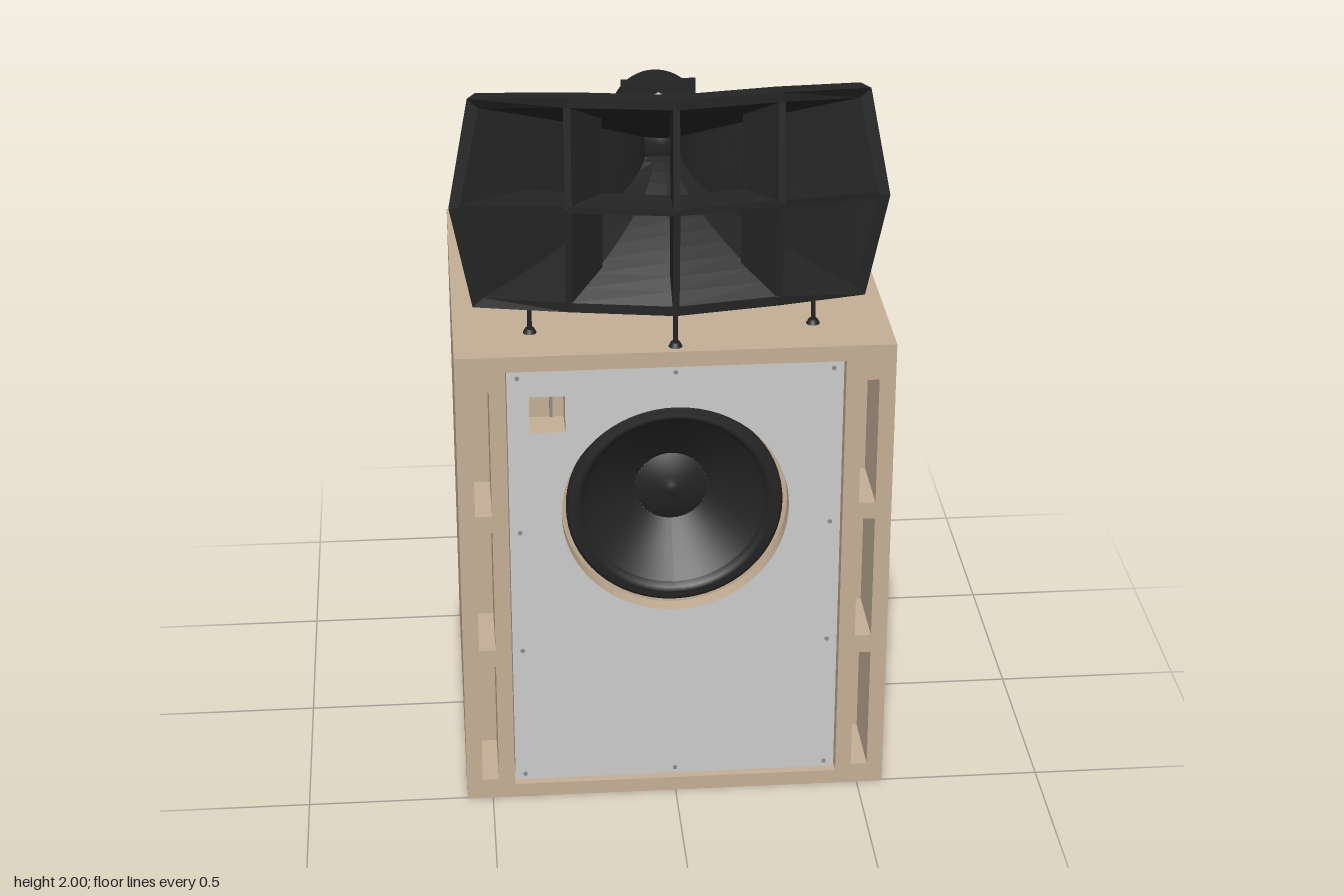
import * as THREE from 'three';

const wood = new THREE.MeshStandardMaterial({ color: 0xc4af96 });
wood.name = 'wood';
const grey = new THREE.MeshStandardMaterial({ color: 0xcbcbcb });
grey.name = 'panelGrey';
const black = new THREE.MeshStandardMaterial({ color: 0x242424, side: THREE.DoubleSide });
black.name = 'black';
const steel = new THREE.MeshStandardMaterial({ color: 0x8c8c8c });
steel.name = 'steel';

const AXIS_Y = 1.713; // height of horn throat and driver

function add(parent, name, geo, mat, x = 0, y = 0, z = 0) {
  const m = new THREE.Mesh(geo, mat);
  m.name = name;
  m.position.set(x, y, z);
  parent.add(m);
  return m;
}

// Rectangle given by its sides, as a Shape or a hole Path
function rect(Type, x0, x1, y0, y1) {
  return new Type([[x0, y0], [x1, y0], [x1, y1], [x0, y1]].map(p => new THREE.Vector2(...p)));
}

// Lathe whose axis points along +z; profile is [radius, z]
function latheZ(profile, segments = 48) {
  const g = new THREE.LatheGeometry(profile.map(p => new THREE.Vector2(...p)), segments);
  return g.rotateX(Math.PI / 2);
}

// Flat-faced skin through equal-length rings of [x, y, z]
function loft(rings, closeRings = false) {
  const out = [];
  const n = rings[0].length;
  const last = closeRings ? rings.length : rings.length - 1;
  for (let i = 0; i < last; i++) {
    const a = rings[i], b = rings[(i + 1) % rings.length];
    for (let j = 0; j < n; j++) {
      const k = (j + 1) % n;
      out.push(...a[j], ...a[k], ...b[k], ...a[j], ...b[k], ...b[j]);
    }
  }
  const g = new THREE.BufferGeometry();
  g.setAttribute('position', new THREE.Float32BufferAttribute(out, 3));
  g.computeVertexNormals();
  return g;
}

// Front edge of the mouth: u = -2..2 across, v = -1..1 upward
function mouth(u, v) {
  const a = Math.abs(u), s = Math.sign(u);
  const x = s * [0, 0.27, v ? 0.515 : 0.57][a];
  const mid = [1.708, 1.705, 1.66][a];
  const half = [0.292, 0.291, 0.288][a];
  const z = [0.505, 0.455, 0.31][a] - (v ? 0.02 : 0);
  return [x, mid + v * half, z];
}

// Inner lip of the rim
function lip(u, v) {
  const [x, y, z] = mouth(u, v);
  return [x - (Math.abs(u) === 2 ? Math.sign(u) * 0.028 : 0), y - v * 0.026, z];
}

// Point on the flare, t = 0 at the throat and 1 at the mouth
function flare(u, v, t) {
  const [x, y, z] = lip(u, v);
  const L = THREE.MathUtils.lerp;
  return [L(0.0225 * u, x, t ** 1.8), L(AXIS_Y + 0.025 * v, y, t ** 1.3), L(0.045, z, t)];
}

const PERIMETER = [
  [-2, 1], [-1, 1], [0, 1], [1, 1], [2, 1], [2, 0],
  [2, -1], [1, -1], [0, -1], [-1, -1], [-2, -1], [-2, 0],
];

function makeCabinet() {
  const g = new THREE.Group();
  g.name = 'cabinet';
  add(g, 'cabinetBody', new THREE.BoxGeometry(1.14, 1.325, 0.81), wood, 0, 0.6625, -0.1);

  // Front frame with panel opening and side vents
  const frame = rect(THREE.Shape, -0.57, 0.57, 0, 1.325);
  frame.holes.push(rect(THREE.Path, -0.44, 0.44, 0.04, 1.282));
  for (const s of [-1, 1]) {
    for (const [y0, y1] of [[0.058, 0.412], [0.464, 0.82], [0.868, 1.226]]) {
      frame.holes.push(rect(THREE.Path, s * 0.505 - 0.022, s * 0.505 + 0.022, y0, y1));
    }
  }
  add(g, 'frontFrame', new THREE.ExtrudeGeometry(frame, { depth: 0.2, bevelEnabled: false }), wood, 0, 0, 0.305);

  // Recessed panel with woofer opening and terminal window
  const panel = rect(THREE.Shape, -0.437, 0.437, 0.043, 1.279);
  panel.holes.push(new THREE.Path().absarc(0, 0.857, 0.3, 0, Math.PI * 2, true));
  panel.holes.push(rect(THREE.Path, -0.38, -0.287, 1.097, 1.2));
  add(g, 'frontPanel', new THREE.ExtrudeGeometry(panel, { depth: 0.18, bevelEnabled: false, curveSegments: 32 }), [grey, wood], 0, 0, 0.305);
  add(g, 'terminalRecess', new THREE.BoxGeometry(0.093, 0.103, 0.08), wood, -0.3335, 1.1485, 0.35);
  add(g, 'terminalStrip', new THREE.BoxGeometry(0.008, 0.1, 0.008), steel, -0.32, 1.1485, 0.394);

  // Screws of the panel and the back
  const dot = new THREE.CylinderGeometry(0.006, 0.006, 0.006, 10).rotateX(Math.PI / 2);
  const spots = [[0, 1.258], [0, 0.06]];
  for (const s of [-1, 1]) for (const y of [0.06, 0.448, 0.806, 1.255]) spots.push([s * 0.41, y]);
  for (const [x, y] of spots) add(g, 'panelScrew', dot, steel, x, y, 0.485);
  for (const x of [-0.39, 0, 0.39]) for (const y of [0.04, 1.285]) add(g, 'backScrew', dot, steel, x, y, -0.504);
  return g;
}

function makeWoofer() {
  const g = new THREE.Group();
  g.name = 'woofer';
  g.position.set(0, 0.857, 0);
  add(g, 'wooferSeat', new THREE.RingGeometry(0.27, 0.3, 64), wood, 0, 0, 0.44);
  add(g, 'surround', latheZ([[0.287, 0.435], [0.287, 0.45], [0.278, 0.456], [0.27, 0.452], [0.262, 0.458], [0.25, 0.455], [0.24, 0.44]], 64), black);
  add(g, 'cone', latheZ([[0.24, 0.44], [0.17, 0.39], [0.097, 0.345]], 64), black);
  add(g, 'dustCap', latheZ([[0.097, 0.345], [0.07, 0.358], [0.035, 0.366], [0.02, 0.367], [0.018, 0.371], [0, 0.372]]), black);
  return g;
}

function makeHorn() {
  const g = new THREE.Group();
  g.name = 'horn';
  const rings = [];
  for (let i = 0; i <= 12; i++) rings.push(PERIMETER.map(([u, v]) => flare(u, v, i / 12)));
  add(g, 'hornFlare', loft(rings), black);

  // Thick rim: a closed section carried round the mouth
  const back = ([x, y, z], u) => [x - 0.011 * u, y, z - 0.042];
  const rim = PERIMETER.map(([u, v]) => {
    const o = mouth(u, v), n = lip(u, v);
    return [back(o, u), o, n, back(n, u)];
  });
  add(g, 'hornRim', loft(rim, true), black);

  // Dividing fins across the mouth
  const fin = (name, cells, dx, dy) => {
    const section = ([u, v]) => [[0.8, -1], [1, -1], [1, 1], [0.8, 1]].map(([t, s]) => {
      const p = flare(u, v, t);
      return [p[0] + s * dx, p[1] + s * dy, p[2]];
    });
    add(g, name, loft(cells.map(section)), black);
  };
  for (const u of [-1, 0, 1]) fin('verticalFin', [[u, -1], [u, 0], [u, 1]], 0.009, 0);
  fin('horizontalFin', [-2, -1, 0, 1, 2].map(u => [u, 0]), 0, 0.009);

  // Support legs under the mouth
  for (const [x, z] of [[-0.37, 0.355], [0, 0.47], [0.37, 0.355]]) {
    add(g, 'supportRod', new THREE.CylinderGeometry(0.006, 0.006, 0.1, 12), black, x, 1.375, z);
    add(g, 'supportFoot', new THREE.CylinderGeometry(0.012, 0.018, 0.012, 20), black, x, 1.331, z);
  }
  return g;
}

function makeDriver() {
  const g = new THREE.Group();
  g.name = 'driver';
  g.position.y = AXIS_Y;
  add(g, 'throat', latheZ([[0, 0.052], [0.066, 0.052], [0.062, 0.02], [0.057, -0.02], [0.055, -0.09]]), black);
  add(g, 'driverBody', latheZ([[0, -0.098], [0.108, -0.098], [0.108, -0.125], [0.118, -0.13], [0.118, -0.215], [0.113, -0.23], [0.103, -0.237], [0, -0.237]]), black);
  const cap = new THREE.CylinderGeometry(0.06, 0.06, 0.006, 40).rotateX(Math.PI / 2);
  add(g, 'driverBackDisc', cap, grey, 0, 0, -0.238);

  // Angle bracket and its bolts
  add(g, 'bracketPlate', new THREE.BoxGeometry(0.2, 0.52, 0.014), black, 0, 1.587 - AXIS_Y, -0.092);
  add(g, 'bracketFoot', new THREE.BoxGeometry(0.2, 0.012, 0.1), black, 0, 1.331 - AXIS_Y, -0.049);
  const bolt = new THREE.CylinderGeometry(0.011, 0.011, 0.012, 6).rotateX(Math.PI / 2);
  for (const s of [-1, 1]) add(g, 'bracketBolt', bolt, grey, 0, s * 0.09, -0.08);
  return g;
}

export function createModel() {
  const model = new THREE.Group();
  model.name = 'hornSpeaker';
  model.add(makeCabinet(), makeWoofer(), makeHorn(), makeDriver());
  // Lathe profiles run either way round, so wind every lathe face outward along its normal
  model.traverse(o => {
    if (o.isMesh && o.geometry.type === 'LatheGeometry') o.geometry.computeVertexNormals();
  });
  return model;
}
